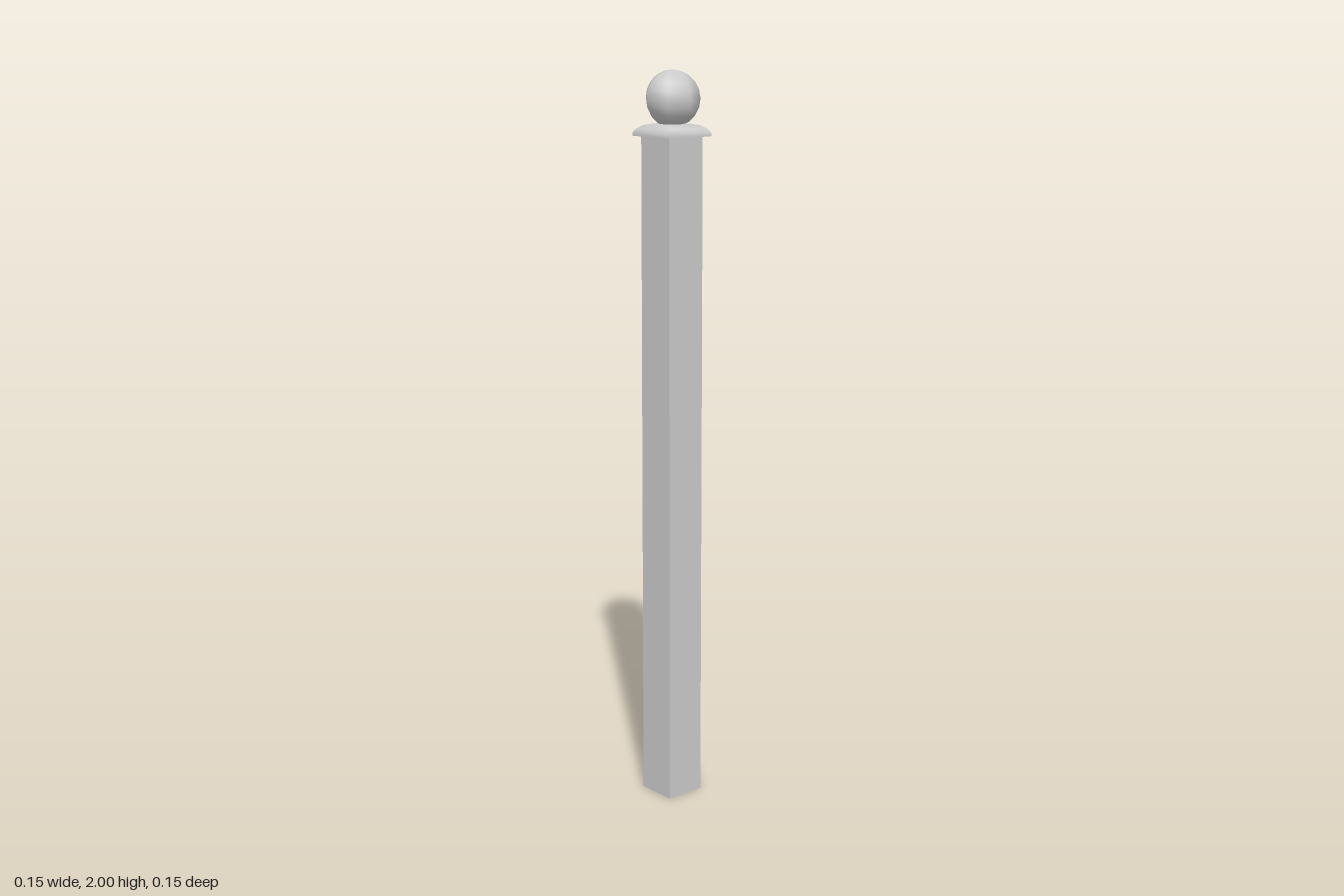
import * as THREE from 'three';
import { toCreasedNormals } from 'three/addons/utils/BufferGeometryUtils.js';

const material = new THREE.MeshStandardMaterial({ color: 0xcccccc, side: THREE.DoubleSide });

// Square section swept up a profile of [half width, height] pairs
function squareTurned(name, profile, crease) {
  const points = profile.map(([half, y]) => new THREE.Vector2(half * Math.SQRT2, y));
  const geometry = new THREE.LatheGeometry(points, 4, Math.PI / 4);
  const mesh = new THREE.Mesh(toCreasedNormals(geometry, crease), material);
  mesh.name = name;
  return mesh;
}

export function createModel() {
  const group = new THREE.Group();
  group.name = 'fencePost';

  // Square shaft, open at the bottom
  const shaft = squareTurned('shaft', [[0.057, 0], [0.057, 1.832]], 0.5);

  // Overhanging cap: thin lip, then a rounded slope up to the ball
  const cap = squareTurned('cap', [
    [0, 1.829], [0.073, 1.829], [0.073, 1.838], [0.065, 1.849],
    [0.053, 1.857], [0.035, 1.861], [0, 1.862],
  ], 0.9);

  // Seven-sided smooth ball finial with one corner facing the front
  const radius = 0.0745;
  const ball = new THREE.Mesh(new THREE.SphereGeometry(radius, 7, 10, Math.PI / 2), material);
  ball.name = 'ballFinial';
  ball.position.y = 2 - radius;

  group.add(shaft, cap, ball);
  // The seven-sided ball is uneven front to back, so shift to centre the whole
  group.children.forEach((part) => { part.position.z = -0.0035; });
  return group;
}
